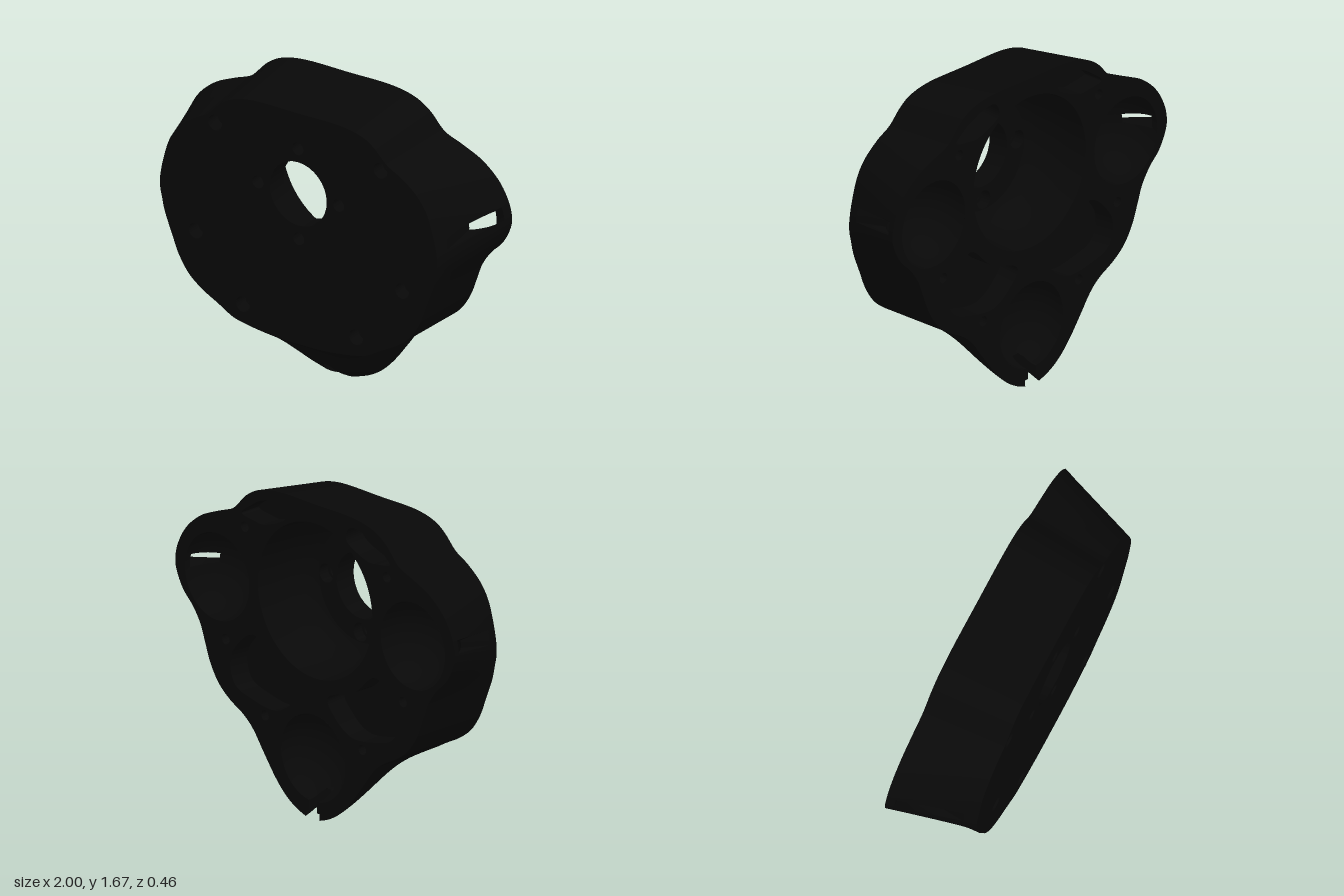
import * as THREE from 'three';
import { toCreasedNormals } from 'three/addons/utils/BufferGeometryUtils.js';

const BACK = -0.22, FRONT = 0.22, FLOOR = 0.1, CY = 1.155;
const LOW = { y: .32, r: .23, depth: .2 };
const lerp = THREE.MathUtils.lerp;
const V2 = (x, y) => new THREE.Vector2(x, y);

// Right half outline, top to bottom: back x, back y, front x, front y
const OUTLINE = [
  [0, 1.665, 0, 1.6], [.25, 1.665, .25, 1.6], [.4, 1.64, .39, 1.575], [.5, 1.585, .47, 1.53],
  [.59, 1.495, .55, 1.455], [.7, 1.45, .64, 1.405], [.82, 1.395, .73, 1.335], [.92, 1.31, .79, 1.25],
  [.98, 1.21, .83, 1.13], [1, 1.12, .85, 1.03], [.985, 1.05, .85, .97], [.94, .97, .84, .92],
  [.87, .9, .83, .87], [.815, .82, .815, .82], [.78, .73, .78, .73], [.74, .63, .74, .63],
  [.68, .54, .68, .54], [.6, .475, .6, .475], [.5, .42, .5, .42], [.43, .36, .41, .37],
  [.355, .26, .33, .35], [.27, .15, .25, .338], [.195, .075, .18, .33], [.12, .027, .11, .326], [.05, 0, .05, .325],
];
// Notch at the bottom tip
const NOTCH = [[.05, .035], [.03, .035], [.03, .115], [.015, .135], [0, .135]];
const LAST = OUTLINE.length - 1;
const spline = k => new THREE.CatmullRomCurve3(
  OUTLINE.map(p => new THREE.Vector3(p[k], p[k + 1], 0)), false, 'catmullrom', 0.5);
const backCurve = spline(0), frontCurve = spline(2);

// Point on the outer wall: u runs along the outline, t from back to front
function wallPoint(u, t) {
  const z = lerp(BACK, FRONT, t);
  const scoop = t - 0.2 * Math.sin(Math.PI * t) * (1 - t);
  if (u > LAST) {
    // The notch stops where it meets the bottom bowl
    const [x, y] = NOTCH[u - LAST - 1];
    const bowlEdge = LOW.y - LOW.r * Math.sqrt(Math.max(0, 1 - ((z - BACK) / LOW.depth) ** 2));
    return [x, Math.max(Math.min(y, bowlEdge), 0.325 * scoop), z];
  }
  const b = backCurve.getPoint(u / LAST), f = frontCurve.getPoint(u / LAST);
  const bottom = THREE.MathUtils.smoothstep(u, LAST - 6, LAST - 3);
  return [lerp(b.x, f.x, t), lerp(b.y, f.y, lerp(t, scoop, bottom)), z];
}
const STEPS = [];
for (let i = 0; i <= LAST * 8; i++) STEPS.push(i / 8);
NOTCH.forEach((_, i) => STEPS.push(LAST + 1 + i));

// Grid surface from a point function, with optional skipped cells
function grid(cols, rows, point, skip = () => false) {
  const pos = [], idx = [];
  for (let j = 0; j <= rows; j++) for (let i = 0; i <= cols; i++) pos.push(...point(i, j));
  for (let j = 0; j < rows; j++) for (let i = 0; i < cols; i++) {
    if (skip(i, j)) continue;
    const a = j * (cols + 1) + i, b = a + 1, d = a + cols + 1, c = d + 1;
    idx.push(a, d, c, a, c, b);
  }
  const g = new THREE.BufferGeometry();
  g.setAttribute('position', new THREE.Float32BufferAttribute(pos, 3));
  g.setIndex(idx);
  return g;
}

function circle(x, y, r) {
  const p = new THREE.Path();
  p.absarc(x, y, r, 0, Math.PI * 2, true);
  return p;
}

// Mirrored outline of a flat face; the middle points join the two halves
function faceShape(t, steps, middle) {
  const right = steps.map(u => wallPoint(u, t));
  const left = right.slice(1).reverse().map(p => [-p[0], p[1]]);
  return new THREE.Shape([...right, ...middle, ...left].map(p => V2(p[0], p[1])));
}

// Closed smooth pocket outline
function pocketLoop(points, side) {
  const c = new THREE.CatmullRomCurve3(points.map(p => new THREE.Vector3(p[0] * side, p[1], 0)), true, 'catmullrom', 0.5);
  return c.getPoints(48).slice(0, -1).map(p => V2(p.x, p.y));
}

// Round bowl point: a is the angle, phi runs from the rim (PI/2) to the centre (0)
const bowlPoint = (cx, cy, r, depth) => (a, phi) => [
  cx + r * Math.sin(phi) * Math.cos(a), cy + r * Math.sin(phi) * Math.sin(a), BACK + depth * Math.cos(phi)];

export function createModel() {
  const group = new THREE.Group();
  group.name = 'mountingHousing';
  const black = new THREE.MeshStandardMaterial({ color: 0x080808, side: THREE.DoubleSide });
  black.name = 'matte black';

  // Every part shares the same slight lean
  function add(name, geo, mirror = false) {
    const p = geo.attributes.position;
    for (let i = 0; i < p.count; i++) p.setZ(i, p.getZ(i) + 0.015 * (p.getY(i) - 0.83));
    const g = toCreasedNormals(geo, 0.6);
    const mesh = new THREE.Mesh(g, black);
    mesh.name = name;
    group.add(mesh);
    if (mirror) {
      const m = new THREE.Mesh(g, black);
      m.name = name + 'Mirrored';
      m.scale.x = -1;
      group.add(m);
    }
  }
  const tube = (name, x, y, r, z0, z1) => add(name,
    new THREE.CylinderGeometry(r, r, z1 - z0, 32, 1, true).rotateX(Math.PI / 2).translate(x, y, (z0 + z1) / 2));
  // Stepped hole: radius r0 at the back, r1 at the front, with a ledge between
  function steppedHole(name, x, y, r0, r1, z0, ledge, z1) {
    tube(name, x, y, r0, z0, ledge);
    tube(name, x, y, r1, ledge, z1);
    add(name + 'Ledge', new THREE.RingGeometry(Math.min(r0, r1), Math.max(r0, r1), 32).translate(x, y, ledge));
  }

  // Outer wall with a long slot in each side lobe and the notch open to the bottom bowl
  add('outerWall', grid(STEPS.length - 1, 20, (i, j) => wallPoint(STEPS[i], j / 20),
    (i, j) => (i >= 65 && i < 71 && j >= 2 && j < 17) || (i >= STEPS.length - 3 && j < 5)), true);

  // Side bowls, opened where the slot enters
  const CELL = Math.PI * 2 / 40, RING = Math.PI / 24;
  const side = bowlPoint(.7, 1.1, .23, .25);
  const sidePoint = (i, j) => side((i - .5) * CELL, Math.PI / 2 - j * RING);
  add('sideBowl', grid(40, 12, sidePoint, (i, j) => i < 2 && j >= 1 && j < 6), true);

  // Passage joining the outer slot to the side bowl
  const rim = [];
  const corners = [[0, 0], [1, 0], [1, 1], [0, 1], [0, 0]];
  for (let s = 0; s < 4; s++) for (let k = 0; k < 15; k++)
    rim.push([0, 1].map(c => lerp(corners[s][c], corners[s + 1][c], k / 15)));
  rim.push([0, 0]);
  add('slotPassage', grid(60, 1, (i, j) => {
    const [p, q] = rim[i];
    return j ? sidePoint(lerp(2, 0, p), lerp(1, 6, q))
      : wallPoint(lerp(8.125, 8.875, p), lerp(.1, .85, q));
  }), true);

  // Bottom bowl, opened where the notch enters
  const low = bowlPoint(0, LOW.y, LOW.r, LOW.depth);
  add('bottomBowl', grid(40, 12, (i, j) => low(i * CELL, Math.PI / 2 - j * RING),
    (i, j) => (i === 29 || i === 30) && j < 5));

  // Central bowl and its pierced floor
  const profile = [[.41, BACK], [.402, -.11], [.385, -.02], [.355, .045], [.33, .082], [.3, FLOOR]];
  add('centralBowl', new THREE.LatheGeometry(profile.map(p => V2(...p)), 64).rotateX(Math.PI / 2).translate(0, CY, 0));
  const floor = new THREE.Shape();
  floor.absarc(0, CY, .3, 0, Math.PI * 2, false);

  // The back face runs up the notch and around the bottom bowl
  const arc = [];
  for (let k = 0; k <= 48; k++) arc.push(low(lerp(-.5 * Math.PI + .131, 1.5 * Math.PI - .131, k / 48), Math.PI / 2));
  const front = faceShape(1, STEPS.slice(0, -1), []);
  const back = faceShape(0, STEPS.slice(0, -3), arc);

  // Shaft opening and four recessed screw holes around it
  floor.holes.push(circle(0, CY, .175));
  front.holes.push(circle(0, CY, .175));
  tube('shaftOpening', 0, CY, .175, FLOOR, FRONT);
  for (const [dx, dy] of [[1, 0], [-1, 0], [0, 1], [0, -1]]) {
    const x = dx * .248, y = CY + dy * .248;
    floor.holes.push(circle(x, y, .049));
    front.holes.push(circle(x, y, .034));
    steppedHole('screwHole', x, y, .049, .034, FLOOR, .16, FRONT);
  }

  // Six bolt holes through the whole body, recessed at the front
  for (const s of [1, -1]) for (const [x, y] of [[.508, 1.415], [.634, .785], [.348, .455]]) {
    front.holes.push(circle(s * x, y, .042));
    back.holes.push(circle(s * x, y, .027));
    steppedHole('boltHole', s * x, y, .027, .042, BACK, .14, FRONT);
  }

  // Shallow weight-saving pockets on the back
  const pockets = [
    ['lowerPocket', -.1, [[.1, .67], [.29, .745], [.44, .86], [.59, .72], [.57, .57], [.43, .515], [.27, .5], [.15, .575]]],
    ['upperPocket', -.1, [[.22, 1.53], [.25, 1.61], [.38, 1.59], [.46, 1.545], [.53, 1.485], [.44, 1.465], [.36, 1.465]]],
  ];
  for (const [name, z, pts] of pockets) {
    for (const s of [1, -1]) back.holes.push(new THREE.Path(pocketLoop(pts, s)));
    const loop = pocketLoop(pts, 1), n = loop.length;
    add(name + 'Wall', grid(n, 1, (i, j) => [loop[i % n].x, loop[i % n].y, j ? z : BACK]), true);
    add(name + 'Floor', new THREE.ShapeGeometry(new THREE.Shape(loop)).translate(0, 0, z), true);
  }

  // Flat faces
  for (const [x, y, r] of [[0, CY, .41], [.7, 1.1, .23], [-.7, 1.1, .23]]) back.holes.push(circle(x, y, r));
  add('bowlFloor', new THREE.ShapeGeometry(floor, 32).translate(0, 0, FLOOR));
  add('frontFace', new THREE.ShapeGeometry(front, 32).translate(0, 0, FRONT));
  add('backFace', new THREE.ShapeGeometry(back, 32).translate(0, 0, BACK));
  return group;
}
